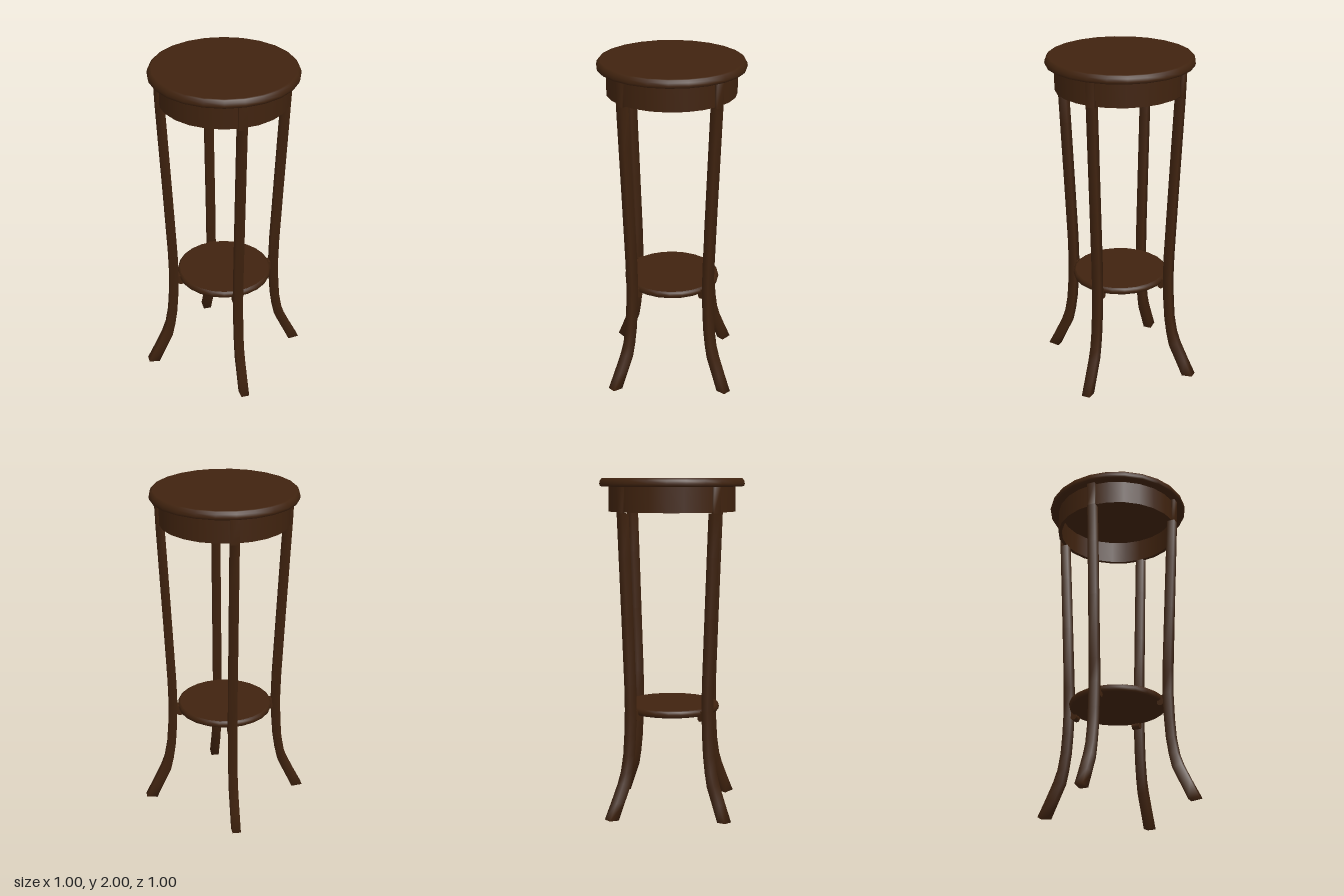
import * as THREE from 'three';

const SEGMENTS = 24;

// Round part turned from [radius, height] points listed bottom to top
function turned(name, points, material) {
  const profile = points.map(([r, y]) => new THREE.Vector2(r, y));
  const mesh = new THREE.Mesh(new THREE.LatheGeometry(profile, SEGMENTS), material);
  mesh.name = name;
  return mesh;
}

// Square leg lofted through [inner offset, outer offset, inner height, outer height] sections
function legGeometry(sections) {
  const half = 0.025, positions = [], indices = [];
  sections.forEach(([inner, outer, yIn, yOut = yIn]) => {
    positions.push(inner, yIn, -half, outer, yOut, -half, outer, yOut, half, inner, yIn, half);
  });
  for (let i = 0; i < sections.length - 1; i++) {
    for (let j = 0; j < 4; j++) {
      const a = i * 4 + j, b = i * 4 + (j + 1) % 4;
      indices.push(a, a + 4, b, b, a + 4, b + 4);
    }
  }
  // Foot and top caps
  const t = (sections.length - 1) * 4;
  indices.push(0, 1, 2, 0, 2, 3, t, t + 2, t + 1, t, t + 3, t + 2);
  const geometry = new THREE.BufferGeometry();
  geometry.setAttribute('position', new THREE.Float32BufferAttribute(positions, 3));
  geometry.setIndex(indices);
  geometry.computeVertexNormals();
  return geometry;
}

export function createModel() {
  const model = new THREE.Group();
  model.name = 'plantStand';
  const wood = new THREE.MeshStandardMaterial({ color: 0x40230f });
  wood.name = 'darkWood';

  // Top with a softened rim; doubled points keep the flat faces crisp
  model.add(turned('tableTop', [
    [0, 1.95], [0.414, 1.95], [0.414, 1.95], [0.427, 1.954], [0.431, 1.967],
    [0.427, 1.984], [0.418, 1.997], [0.41, 2], [0.41, 2], [0, 2],
  ], wood));

  // Hollow apron under the top
  model.add(turned('apron', [
    [0.356, 1.95], [0.356, 1.805], [0.356, 1.805], [0.377, 1.805], [0.377, 1.805], [0.377, 1.95],
  ], wood));

  // Lower shelf with a rounded edge
  model.add(turned('shelf', [
    [0, 0.61], [0.275, 0.61], [0.284, 0.616], [0.288, 0.631],
    [0.284, 0.646], [0.275, 0.652], [0.275, 0.652], [0, 0.652],
  ], wood));

  // Four splayed legs, notched at the top to receive the apron,
  // each with a scroll bracket holding the shelf
  const leg = legGeometry([
    [0.435, 0.501, 0, 0.008], [0.391, 0.452, 0.095, 0.105], [0.344, 0.402, 0.195, 0.21],
    [0.325, 0.377, 0.28], [0.31, 0.359, 0.38], [0.301, 0.35, 0.5], [0.295, 0.345, 0.65],
    [0.298, 0.348, 0.8], [0.317, 0.366, 1.2], [0.334, 0.383, 1.55], [0.347, 0.395, 1.8],
    [0.378, 0.395, 1.802], [0.378, 0.4, 1.953],
  ]);
  const scroll = new THREE.CylinderGeometry(0.02, 0.02, 0.048, 12).rotateX(Math.PI / 2);
  const arm = new THREE.BoxGeometry(0.028, 0.04, 0.048);
  for (let i = 0; i < 4; i++) {
    const support = new THREE.Group();
    support.name = 'legAssembly';
    const add = (name, geometry, x, y) => {
      const mesh = new THREE.Mesh(geometry, wood);
      mesh.name = name;
      mesh.position.set(x, y, 0);
      support.add(mesh);
    };
    add('leg', leg, 0, 0);
    add('bracketScroll', scroll, 0.279, 0.599);
    add('bracketArm', arm, 0.287, 0.622);
    support.rotation.y = i * Math.PI / 2;
    model.add(support);
  }
  return model;
}
